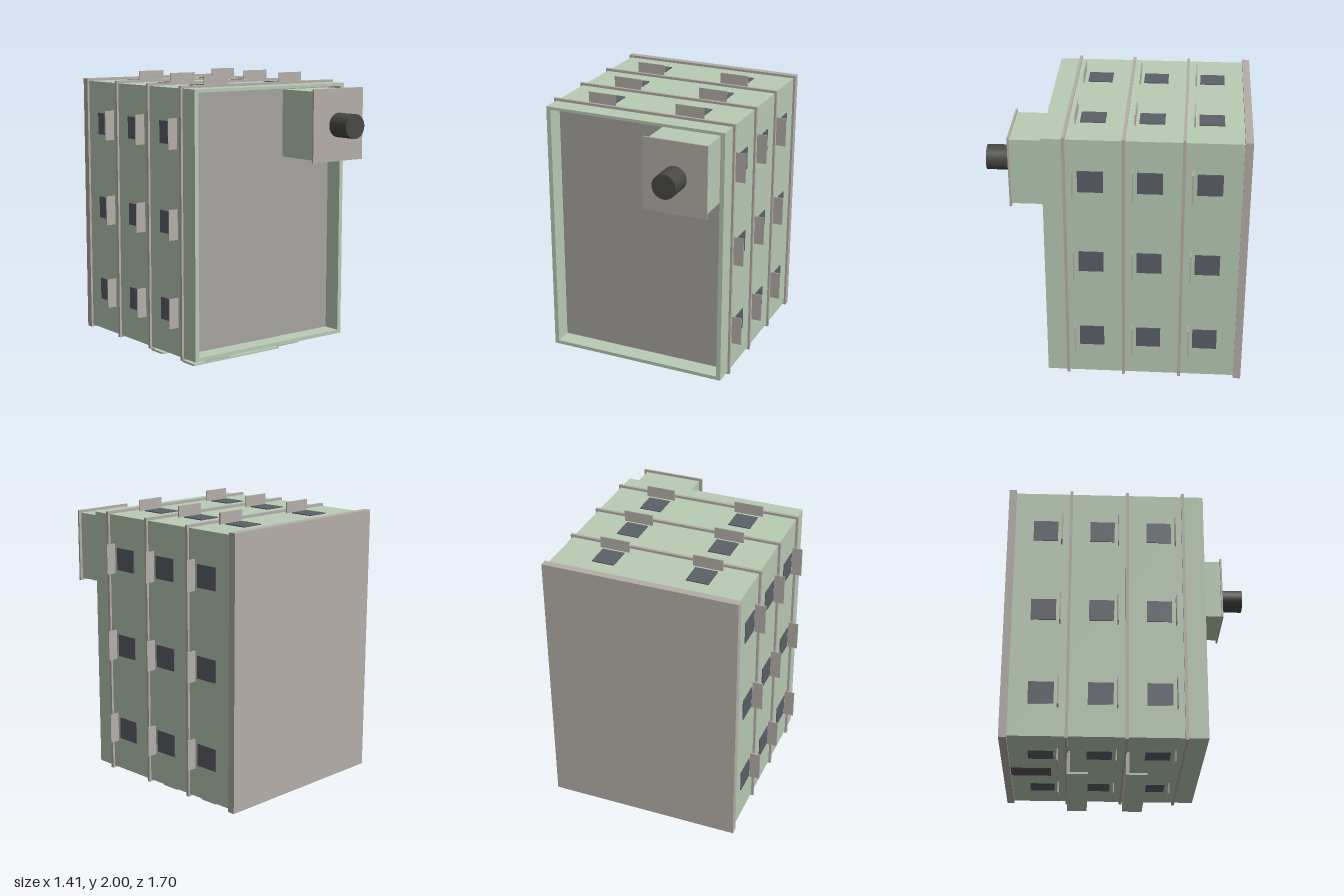
import * as THREE from 'three';

const paint = (color) => new THREE.MeshStandardMaterial({ color });
const green = paint(0xb9cbb4);
const grey = paint(0xb4aea8);
const panelGrey = paint(0xa5a39f);
const glass = paint(0x5c6068);
const hatchGrey = paint(0x5a555c);
const dark = paint(0x484846);

// Box given by its extents along each axis
function block(parent, name, material, [x0, x1], [y0, y1], [z0, z1]) {
  const mesh = new THREE.Mesh(new THREE.BoxGeometry(x1 - x0, y1 - y0, z1 - z0), material);
  mesh.position.set((x0 + x1) / 2, (y0 + y1) / 2, (z0 + z1) / 2);
  mesh.name = name;
  parent.add(mesh);
  return mesh;
}

function rectangle(Type, x, y0, y1) {
  return new Type([
    new THREE.Vector2(-x, y0), new THREE.Vector2(x, y0),
    new THREE.Vector2(x, y1), new THREE.Vector2(-x, y1),
  ]);
}

export function createModel() {
  const model = new THREE.Group();
  model.name = 'habitatModule';
  const W = 0.635, BOTTOM = 0.155, TOP = 1.925;

  // Hull: rectangular tube, open at the front
  const outline = rectangle(THREE.Shape, W, BOTTOM, TOP);
  outline.holes.push(rectangle(THREE.Path, 0.605, 0.18, 1.905));
  const hull = new THREE.Mesh(
    new THREE.ExtrudeGeometry(outline, { depth: 1.27, bevelEnabled: false }), green);
  hull.position.z = -0.8;
  hull.name = 'hull';
  model.add(hull);

  // Recessed front wall, back wall and the ribs around the hull
  block(model, 'frontPanel', panelGrey, [-0.606, 0.606], [0.179, 1.906], [0.3, 0.347]);
  block(model, 'backPlate', grey, [-0.65, 0.65], [0.14, 1.942], [-0.85, -0.8]);
  for (const z of [0.33, -0.047, -0.427]) {
    block(model, 'rib', grey, [-0.65, 0.65], [0.14, 1.942], [z - 0.01, z + 0.01]);
  }

  // Windows with a shade in front of each, in three rows along the hull
  const rows = [
    { z: 0.165, shade: 0.275, t: 0.005 },
    { z: -0.214, shade: -0.107, t: 0.007 },
    { z: -0.594, shade: -0.485, t: 0.01 },
  ];
  for (const { z, shade, t } of rows) {
    const paneZ = [z - 0.082, z + 0.082];
    const shadeZ = [shade - t / 2, shade + t / 2];
    for (const side of [-1, 1]) {
      const span = (a, b) => (side > 0 ? [a, b] : [-b, -a]);
      for (const y of [0.45, 1.04, 1.633]) {
        block(model, 'sideWindow', glass, span(0.62, 0.641), [y - 0.075, y + 0.075], paneZ);
        block(model, 'sideShade', grey, span(0.63, 0.705), [y - 0.101, y + 0.101], shadeZ);
      }
      const x = side > 0 ? 0.312 : -0.319;
      const paneX = [x - 0.075, x + 0.075];
      const shadeX = [x - 0.1, x + 0.1];
      block(model, 'topWindow', glass, paneX, [1.91, 1.931], paneZ);
      block(model, 'topShade', grey, shadeX, [1.92, 2], shadeZ);
      block(model, 'bottomWindow', glass, paneX, [0.149, 0.17], paneZ);
      block(model, 'bottomShade', grey, shadeX, [0.08, 0.16], shadeZ);
    }
  }

  // Hatch under the rear bay
  block(model, 'bottomHatch', hatchGrey, [-0.075, 0.075], [0.147, 0.17], [-0.797, -0.53]);

  // Two L-shaped skids below the hull
  for (const z of [-0.042, -0.423]) {
    block(model, 'skidLeg', grey, [-0.38, 0.38], [0.008, 0.16], [z, z + 0.02]);
    block(model, 'skidFoot', green, [-0.38, 0.38], [0, 0.013], [z, z + 0.137]);
  }

  // Box on the front wall with its cover plate and round port
  block(model, 'portHousing', green, [0.19, 0.59], [1.435, 1.89], [0.33, 0.677]);
  block(model, 'portPlate', grey, [0.17, 0.61], [1.42, 1.907], [0.675, 0.687]);
  const port = new THREE.Mesh(new THREE.CylinderGeometry(0.082, 0.082, 0.17, 32), dark);
  port.rotation.x = Math.PI / 2;
  port.position.set(0.39, 1.663, 0.765);
  port.name = 'port';
  model.add(port);

  return model;
}
